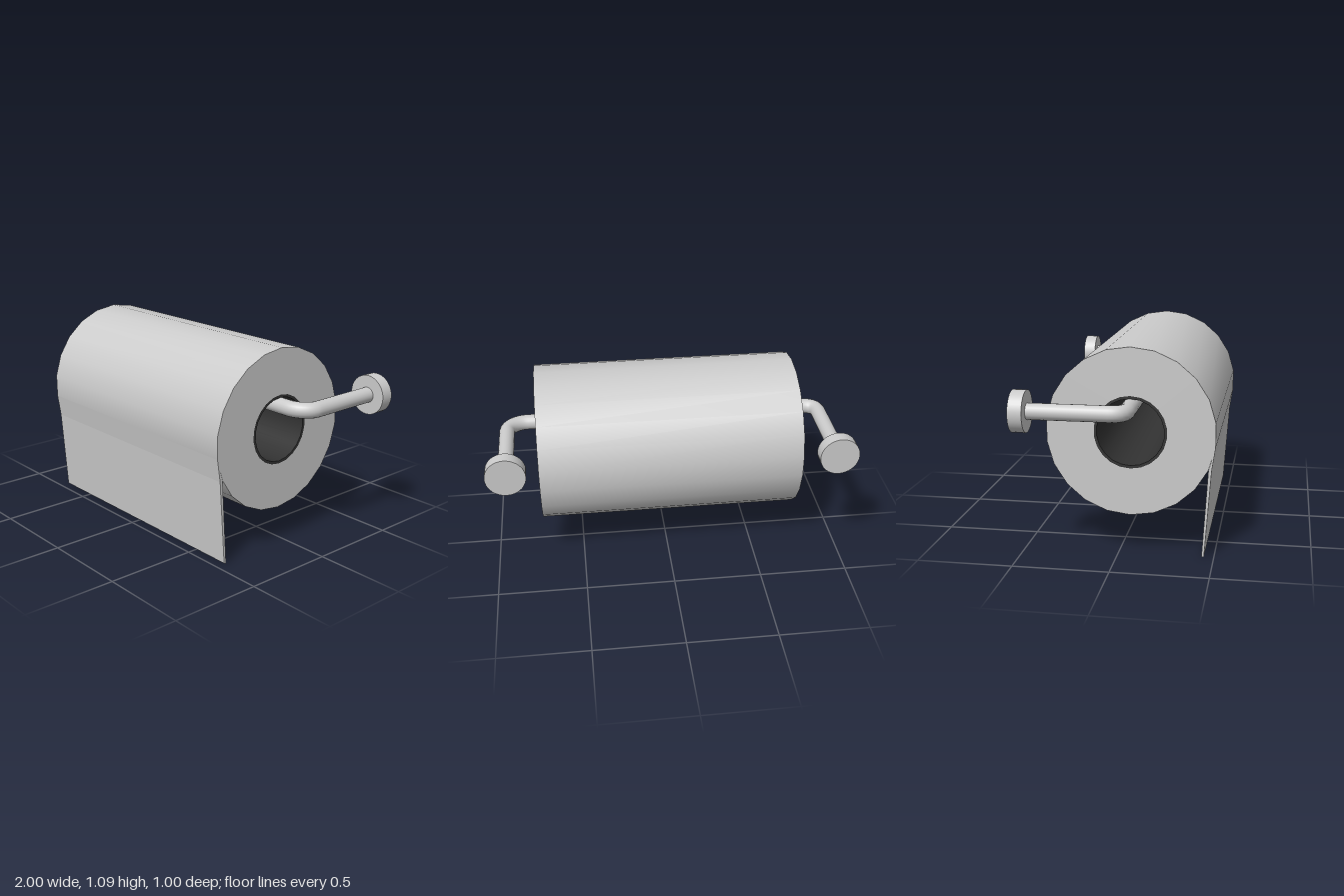
import * as THREE from 'three';
import { toCreasedNormals } from 'three/addons/utils/BufferGeometryUtils.js';

const X0 = -0.733, X1 = 0.725;      // ends of the roll
const ROLL_Y = 0.652, ROLL_Z = 0.064;
const ROD_Y = 0.783, ARM_X = 0.893, ROD_R = 0.0425;

const grey = new THREE.MeshStandardMaterial({ color: 0xcccccc });
const dark = new THREE.MeshStandardMaterial({ color: 0x333333 });

// Hollow cylinder lying along x, with crisp rims
function ring(inner, outer) {
  const profile = [[inner, X0], [outer, X0], [outer, X1], [inner, X1], [inner, X0]]
    .map(([r, h]) => new THREE.Vector2(r, h));
  const lathe = new THREE.LatheGeometry(profile, 22, Math.PI / 2);
  return toCreasedNormals(lathe, 0.6)
    .rotateZ(-Math.PI / 2)
    .translate(0, ROLL_Y, ROLL_Z);
}

export function createModel() {
  const model = new THREE.Group();
  model.name = 'paperRollHolder';
  const add = (name, geometry, material = grey) => {
    const mesh = new THREE.Mesh(geometry, material);
    mesh.name = name;
    model.add(mesh);
    return mesh;
  };

  // Paper roll and its cardboard core
  add('paperRoll', ring(0.19, 0.44));
  add('core', ring(0.175, 0.19), dark);

  // Loose sheet hanging off the front: outline in z and y, extruded along x
  const outline = [[0.436, 0], [0.449, 0.004], [0.481, 0.465], [0.4995, 0.589], [0.465, 0.47]]
    .map(([z, y]) => new THREE.Vector2(z, y));
  const sheet = new THREE.ExtrudeGeometry(new THREE.Shape(outline), { depth: X1 - X0, bevelEnabled: false });
  sheet.rotateY(-Math.PI / 2).translate(X1, 0, 0);
  add('looseSheet', sheet);

  // Rod: arm, bend, spindle through the roll, wider bend, arm
  const p = (x, z) => new THREE.Vector3(x, ROD_Y, z);
  const path = new THREE.CurvePath();
  path.add(new THREE.LineCurve3(p(-ARM_X, -0.44), p(-ARM_X, -0.02)));
  path.add(new THREE.CubicBezierCurve3(
    p(-ARM_X, -0.02), p(-ARM_X, 0.033), p(-0.87, 0.0625), p(-0.81, 0.0625)));
  path.add(new THREE.LineCurve3(p(-0.81, 0.0625), p(0.78, 0.0625)));
  path.add(new THREE.CubicBezierCurve3(
    p(0.78, 0.0625), p(0.835, 0.0625), p(ARM_X, 0.02), p(ARM_X, -0.035)));
  path.add(new THREE.LineCurve3(p(ARM_X, -0.035), p(ARM_X, -0.44)));
  add('rod', new THREE.TubeGeometry(path, 160, ROD_R, 20, false));

  // Round wall mounts
  for (const side of [-1, 1]) {
    const mount = new THREE.CylinderGeometry(0.108, 0.108, 0.072, 36).rotateX(Math.PI / 2);
    add(side > 0 ? 'leftWallMount' : 'rightWallMount', mount)
      .position.set(side * ARM_X, ROD_Y, -0.464);
  }

  return model;
}
